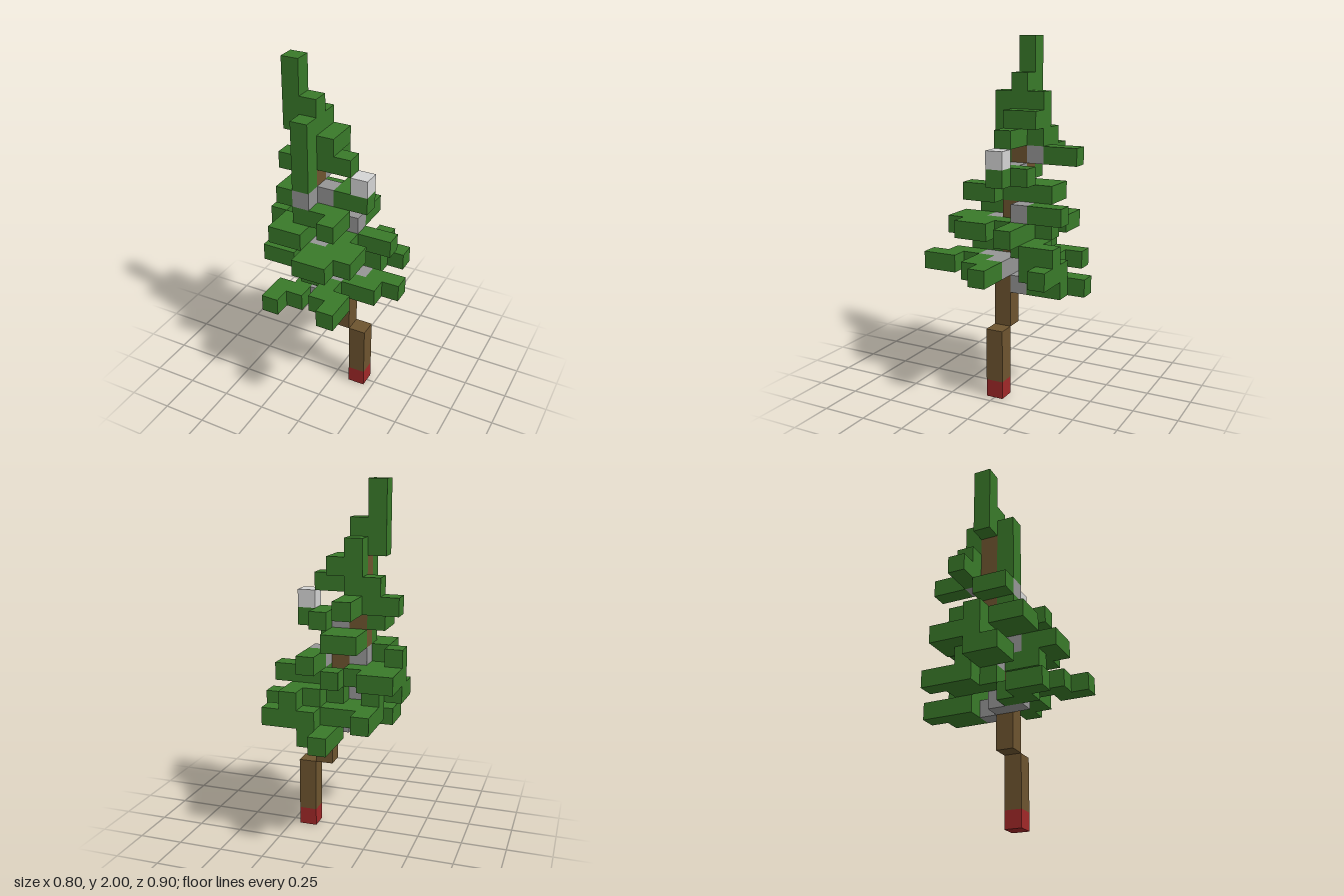
import * as THREE from 'three';
import { mergeGeometries } from 'three/addons/utils/BufferGeometryUtils.js';

const S = 0.1; // edge of one block

function material(name, color) {
  const m = new THREE.MeshStandardMaterial({ color });
  m.name = name;
  return m;
}

// Box over column x, layers y0..y1 and rows z0..z1 (inclusive block indices)
function run(x, y0, y1, z0, z1) {
  const g = new THREE.BoxGeometry(S, (y1 - y0 + 1) * S, (z1 - z0 + 1) * S);
  return g.translate((x - 3.5) * S, ((y0 + y1 + 1) / 2) * S, ((z0 + z1) / 2) * S);
}

// Each layer lists needle runs as [column, first row, last row]
const lowerNeedles = {
  6: [[1, 2, 3], [2, 1, 2], [3, -4, -2], [4, -3, -2]],
  7: [[1, -3, -1], [2, -2, 0], [3, -2, -2], [4, -3, -2], [4, 2, 3],
    [5, -3, -2], [5, 1, 1], [5, 3, 4], [6, -3, -3], [6, 0, 1], [7, 0, 0]],
  8: [[0, 0, 1], [1, -1, 1], [3, -1, -1], [3, 1, 2], [4, -2, -1], [5, -3, -2]],
};
const middleNeedles = {
  9: [[0, -2, 0], [1, -2, 0], [2, -1, -1], [3, -2, -2], [3, 2, 3], [4, -1, 0],
    [4, 1, 3], [5, -1, -1], [5, 1, 2], [6, -1, -1]],
  10: [[0, 0, 0], [1, 1, 2], [2, 1, 2], [4, -3, -2]],
  11: [[2, -2, -1], [2, 1, 1], [3, -2, -1], [3, 0, 1], [4, 1, 2]],
};
const upperNeedles = {
  12: [[1, 0, 1], [4, -1, 0], [5, 0, 0]],
  13: [[0, -1, -1], [1, -1, -1], [2, -3, -2], [2, 1, 1]],
  14: [[1, -1, -1], [2, -1, -1], [2, 1, 1], [3, 0, 0], [4, 0, 0]],
  15: [[2, -1, -1], [2, 1, 1], [3, -1, 0]],
  16: [[2, -1, 1]],
  17: [[2, 0, 0]],
};
const branchLayers = {
  6: [[3, 0, 1], [4, -1, -1]],
  7: [[4, 0, 1], [5, 0, 0]],
  8: [[2, 0, 0]],
  9: [[3, 1, 1]],
  10: [[2, 0, 0], [4, -1, -1]],
  12: [[2, 1, 1], [3, 0, 0]],
  13: [[2, -1, -1]],
};

function layers(table) {
  return Object.entries(table).flatMap(([y, runs]) =>
    runs.map(([x, z0, z1]) => run(x, +y, +y, z0, z1)));
}

export function createModel() {
  const model = new THREE.Group();
  model.name = 'blockTree';
  const green = material('needle green', 0x397929);
  const brown = material('bark brown', 0x6d542f);
  const grey = material('branch grey', 0x959595);
  const light = material('light grey', 0xd4d4d4);
  const red = material('root red', 0xa02828);

  const add = (name, boxes, mat) => {
    const mesh = new THREE.Mesh(mergeGeometries(boxes), mat);
    mesh.name = name;
    model.add(mesh);
  };

  // Leaning trunk, stepping sideways as it rises
  add('root', [run(5, 0, 0, 0, 0)], red);
  add('trunk', [run(5, 1, 3, 0, 0), run(4, 4, 6, 0, 0),
    run(3, 7, 10, 0, 0), run(2, 11, 15, 0, 0)], brown);

  // Branch stubs and the pale branch end
  add('branches', layers(branchLayers), grey);
  add('branchEnd', [run(5, 13, 13, 0, 0)], light);

  // Foliage tiers and the tip
  add('lowerNeedles', layers(lowerNeedles), green);
  add('middleNeedles', layers(middleNeedles), green);
  add('upperNeedles', layers(upperNeedles), green);
  add('treeTip', [run(1, 16, 19, 0, 0)], green);
  return model;
}
